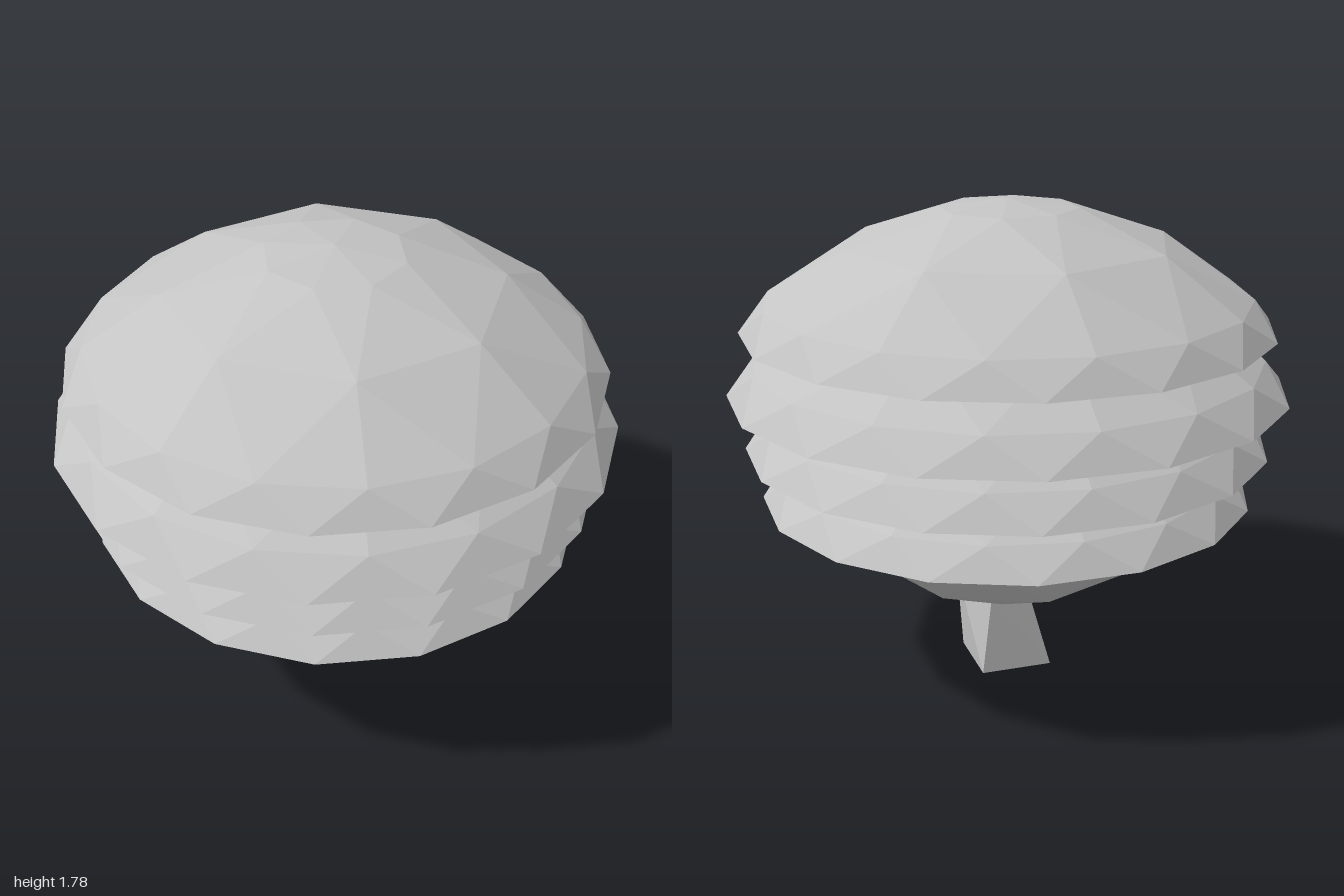
import * as THREE from 'three';

const gray = new THREE.MeshStandardMaterial({ color: 0xc4c4c4, flatShading: true });
gray.name = 'plain gray';

function makeMesh(name, triangles) {
  const geometry = new THREE.BufferGeometry().setFromPoints(triangles);
  geometry.computeVertexNormals();
  const mesh = new THREE.Mesh(geometry, gray);
  mesh.name = name;
  return mesh;
}

// Faceted dome with a flat closed base; a negative height makes a bowl
function dome(name, { x = 0, y, z = 0, radius, height }) {
  const ring = (count, phase, r, h) => {
    const points = Array.from({ length: count }, (_, i) => {
      const a = ((i + phase) / count) * Math.PI * 2;
      return new THREE.Vector3(x + Math.sin(a) * r * radius, y + h * height, z + Math.cos(a) * r * radius);
    });
    return (i) => points[(i + count) % count];
  };
  const apex = new THREE.Vector3(x, y + height, z);
  const centre = new THREE.Vector3(x, y, z);
  const crown = ring(8, 0.5, 0.26, 0.935);
  const shoulder = ring(8, 0, 0.62, 0.67);
  const skirt = ring(16, 0, 0.91, 0.24);
  const rim = ring(16, 0.5, 1, 0);

  const out = [];
  const tri = (a, b, c) => (height > 0 ? out.push(a, b, c) : out.push(a, c, b));
  for (let k = 0; k < 8; k++) {
    tri(apex, crown(k), crown(k + 1));
    tri(crown(k), shoulder(k), shoulder(k + 1));
    tri(crown(k), shoulder(k + 1), crown(k + 1));
    tri(shoulder(k), skirt(2 * k - 1), skirt(2 * k));
    tri(shoulder(k), skirt(2 * k), skirt(2 * k + 1));
    tri(shoulder(k), skirt(2 * k + 1), shoulder(k + 1));
  }
  for (let j = 0; j < 16; j++) {
    tri(skirt(j), rim(j - 1), rim(j));
    tri(skirt(j), rim(j), skirt(j + 1));
    tri(centre, rim(j + 1), rim(j));
  }
  return makeMesh(name, out);
}

// Irregular stem: square foot turned on its corner, five-sided top
function stem() {
  const at = (y) => ([x, z]) => new THREE.Vector3(x, y, z);
  const [a, b, c, d] = [[0, 0.2], [0.19, 0.01], [0, -0.18], [-0.19, 0.01]].map(at(0));
  const [t1, t2, t3, t4, t5] = [[0.045, 0.2], [0.17, -0.02], [0, -0.07], [-0.175, 0], [-0.05, 0.2]].map(at(0.33));
  return makeMesh('stem', [
    a, t1, t5, a, b, t1, b, t2, t1,
    b, c, t2, c, t3, t2, c, d, t3,
    d, t4, t3, d, a, t4, a, t5, t4,
    a, d, c, a, c, b,
  ]);
}

export function createModel() {
  const model = new THREE.Group();
  model.name = 'layered tree';
  model.add(
    stem(),
    dome('lowerBowl', { x: 0.015, y: 0.78, radius: 0.79, height: -0.5 }),
    dome('bottomLayer', { x: 0.015, y: 0.7, radius: 0.9, height: 0.43 }),
    dome('lowerLayer', { x: 0.01, y: 0.89, radius: 0.957, height: 0.46 }),
    dome('upperLayer', { y: 1.09, radius: 1.02, height: 0.485 }),
    dome('topLayer', { y: 1.32, radius: 0.966, height: 0.46 }),
  );
  return model;
}
